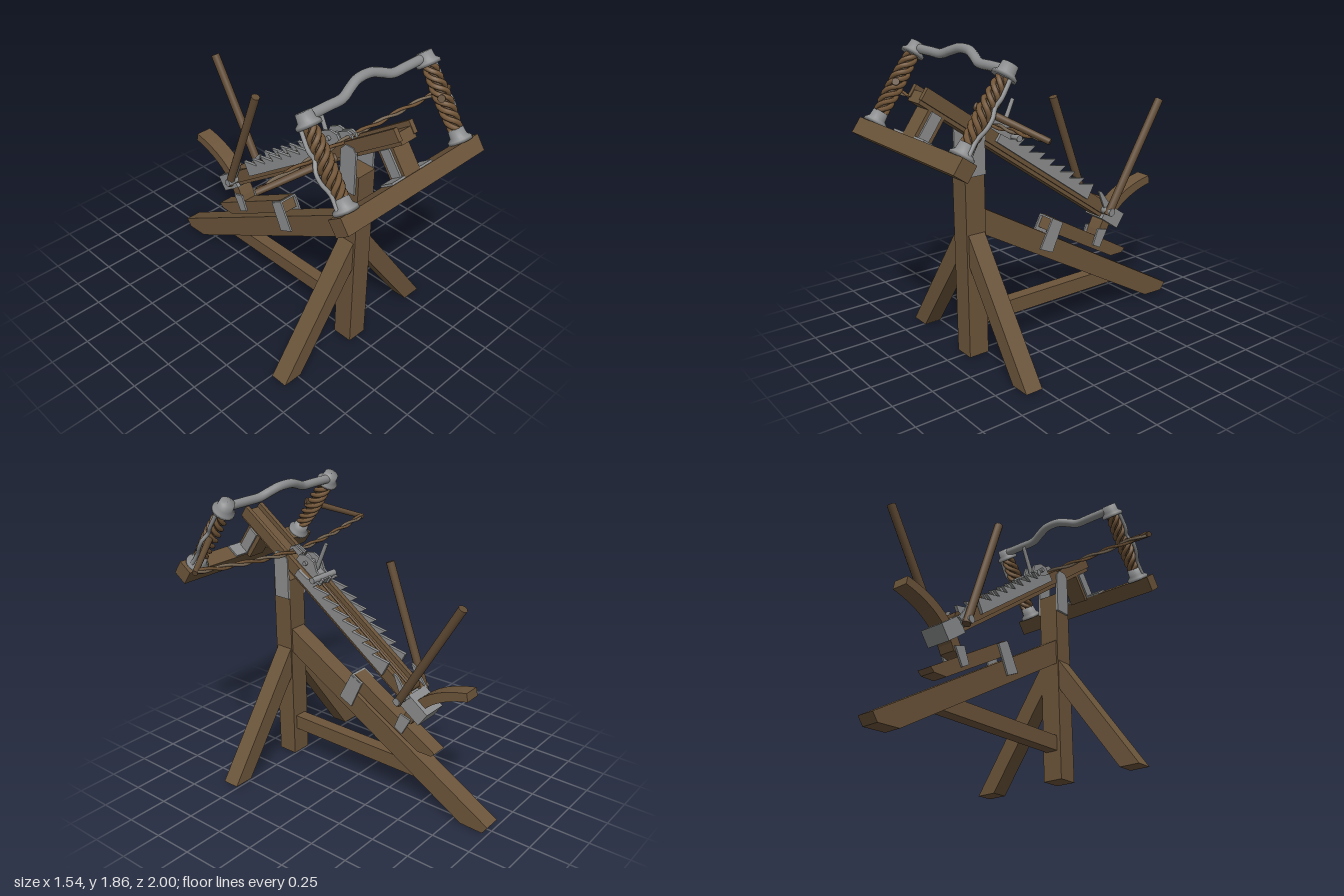
import * as THREE from 'three';

const mat = (name, color) => {
  const m = new THREE.MeshStandardMaterial({ color });
  m.name = name;
  return m;
};

export function createModel() {
  const wood = mat('oak wood', 0x6b543a);
  const dark = mat('handle wood', 0x604a33);
  const rope = mat('rope', 0x735638);
  const cord = mat('bowstring cord', 0x7a6a56);
  const steel = mat('steel', 0x8b8c8d);

  const model = new THREE.Group();
  model.name = 'ballista';
  // Everything carried by the tilted stock lives here: local z runs forward along it, y is its normal
  const stock = new THREE.Group();
  stock.name = 'tiltedStock';
  stock.position.y = 1;
  stock.rotation.x = -0.616;
  model.add(stock);

  const add = (parent, name, geo, material) => {
    const m = new THREE.Mesh(geo, material);
    m.name = name;
    parent.add(m);
    return m;
  };
  const box = (parent, name, material, x0, x1, y0, y1, z0, z1) => {
    const m = add(parent, name, new THREE.BoxGeometry(x1 - x0, y1 - y0, z1 - z0), material);
    m.position.set((x0 + x1) / 2, (y0 + y1) / 2, (z0 + z1) / 2);
    return m;
  };
  const extrude = (shape, depth) =>
    new THREE.ExtrudeGeometry(shape, { depth, bevelEnabled: false, curveSegments: 10 }).translate(0, 0, -depth / 2);
  const poly = pts => new THREE.Shape(pts.map(p => new THREE.Vector2(...p)));
  // Side silhouette given as [z, y] points or a Shape, with its thickness along x
  const slab = (parent, name, material, outline, width, x = 0) => {
    const shape = Array.isArray(outline) ? poly(outline) : outline;
    const m = add(parent, name, extrude(shape, width).rotateY(-Math.PI / 2), material);
    m.position.x = x;
    return m;
  };
  const V = (x, y, z) => new THREE.Vector3(x, y, z);
  const rod = (parent, name, material, a, b, r0, r1 = r0) => {
    const d = b.clone().sub(a);
    const m = add(parent, name, new THREE.CylinderGeometry(r1, r0, d.length(), 12), material);
    m.position.copy(a).addScaledVector(d, 0.5);
    m.quaternion.setFromUnitVectors(V(0, 1, 0), d.normalize());
    return m;
  };
  const tube = (parent, name, material, pts, r, seg = 40, sides = 10) =>
    add(parent, name, new THREE.TubeGeometry(new THREE.CatmullRomCurve3(pts), seg, r, sides), material);

  // ---- Stand ----
  box(model, 'post', wood, -0.066, 0.066, 0.01, 1.25, 0.5, 0.63);
  for (const s of [-1, 1]) {
    const leg = [[0.05, 0.805], [0.61, 0.01], [0.48, 0.01], [0.05, 0.61]].map(([x, y]) => [x * s, y]);
    add(model, 'sideLeg', extrude(poly(leg), 0.11), wood).position.z = 0.562;
    // Rounded iron cheek holding the stock
    slab(model, 'postCheek', steel,
      [[0.5, 1.13], [0.612, 1.13], [0.612, 1.4], [0.59, 1.43], [0.535, 1.43], [0.5, 1.39]], 0.014, s * 0.073);
  }
  slab(model, 'rearBrace', wood,
    [[0.51, 0.925], [-1, 0.055], [-0.965, 0.005], [-0.815, 0.01], [0.51, 0.765]], 0.11);
  slab(model, 'lowerStrut', wood, [[0.51, 0.285], [-0.42, 0.285], [-0.56, 0.19], [0.51, 0.19]], 0.08);

  // ---- Short rear beam, clamps and curved tail ----
  slab(model, 'shortBeam', wood,
    [[-0.01, 0.75], [-0.613, 0.405], [-0.585, 0.38], [-0.49, 0.38], [0.03, 0.672]], 0.1);
  for (const s of [-1, 1]) {
    slab(model, 'beamClamp', steel, [[0.01, 0.745], [-0.072, 0.705], [0.008, 0.53], [0.1, 0.572]], 0.012, s * 0.06);
    slab(model, 'tailClamp', steel, [[-0.365, 0.6], [-0.44, 0.578], [-0.38, 0.468], [-0.325, 0.498]], 0.012, s * 0.058);
  }
  const cap = box(model, 'clampCap', steel, -0.064, 0.064, 0.721, 0.732, -0.077, 0.013);
  cap.rotation.x = -0.5;
  const tail = new THREE.Shape();
  tail.moveTo(-0.36, 0.53);
  tail.quadraticCurveTo(-0.45, 0.81, -0.81, 0.872);
  tail.lineTo(-0.82, 0.82);
  tail.quadraticCurveTo(-0.53, 0.76, -0.44, 0.55);
  slab(model, 'curvedTail', wood, tail, 0.105);

  // ---- Stock ----
  box(stock, 'stockFloor', wood, -0.058, 0.058, -0.042, 0.025, -0.6, 1.07);
  box(stock, 'nosePost', wood, -0.06, 0.06, -0.22, -0.04, 0.885, 1.0);
  box(stock, 'crossbeam', wood, -0.55, 0.55, -0.31, -0.21, 0.908, 1.007);
  box(stock, 'stockEndCap', steel, -0.082, 0.082, -0.05, 0.055, -0.66, -0.5);
  rod(stock, 'drawRope', dark, V(0, 0.035, -0.48), V(0, 0.05, 0.42), 0.008);

  // Saw-toothed ratchet silhouette
  const teeth = [[0.53, 0.005], [0.53, 0.055], [0.45, 0.06]];
  for (let i = 0; i < 8; i++) {
    const tip = 0.36 - i * 0.0925;
    teeth.push([tip, 0.108], [tip + 0.022, 0.055]);
  }
  teeth.pop();
  teeth.push([-0.3, 0.005]);

  for (const s of [-1, 1]) {
    box(stock, 'stockWall', wood, s * 0.06 - 0.014, s * 0.06 + 0.014, -0.02, 0.055, -0.5, 1.075);
    slab(stock, 'ratchetRail', steel, teeth, 0.02, s * 0.084);
    // Angle bracket between nose and crossbeam
    box(stock, 'bracketFoot', steel, s * 0.11 - 0.05, s * 0.11 + 0.05, -0.211, -0.198, 0.912, 1.0);
    box(stock, 'bracketSide', steel, s * 0.066 - 0.006, s * 0.066 + 0.006, -0.21, -0.04, 0.912, 0.98);

    // Torsion spring: washers, twisted skein and guard rod
    const washer = [[0, 0], [0.07, 0], [0.07, 0.018], [0.05, 0.035], [0.045, 0.08], [0, 0.08]]
      .map(p => new THREE.Vector2(...p));
    for (const [name, y] of [['lowerWasher', -0.212], ['upperWasher', 0.245]])
      add(stock, name, new THREE.LatheGeometry(washer, 24), steel).position.set(s * 0.46, y, 0.953);
    rod(stock, 'skeinCore', dark, V(s * 0.46, -0.15, 0.953), V(s * 0.46, 0.25, 0.953), 0.026);
    for (let k = 0; k < 4; k++) {
      const pts = [];
      for (let i = 0; i <= 30; i++) {
        const u = i / 30, a = s * u * 13 + k * Math.PI / 2;
        const r = 0.03 + 0.01 * Math.sin(u * Math.PI);
        pts.push(V(s * 0.46 + r * Math.cos(a), -0.15 + 0.4 * u, 0.953 + r * Math.sin(a)));
      }
      tube(stock, 'skeinStrand', rope, pts, 0.015, 70, 6);
    }
    tube(stock, 'guardRod', steel, [V(s * 0.515, 0.255, 0.95), V(s * 0.52, 0.14, 0.945), V(s * 0.508, 0.09, 0.945),
      V(s * 0.532, 0.03, 0.945), V(s * 0.528, -0.03, 0.945), V(s * 0.506, -0.1, 0.95), V(s * 0.51, -0.2, 0.95)], 0.012);

    // Throwing arm
    rod(stock, 'bowArm', dark, V(s * 0.41, 0.056, 0.99), V(s * 0.76, 0.055, 0.738), 0.022, 0.017);
  }

  // Arched bar joining the upper washers
  tube(stock, 'archedBar', steel, [[-0.46, 0.294], [-0.3, 0.294], [-0.19, 0.296], [-0.12, 0.325], [-0.05, 0.35], [0.05, 0.35],
    [0.12, 0.325], [0.19, 0.296], [0.3, 0.294], [0.46, 0.294]].map(([x, y]) => V(x, y, 0.946)), 0.028, 80, 14);

  // Two-strand twisted bowstring
  for (let k = 0; k < 2; k++) {
    const pts = [];
    for (let i = 0; i <= 80; i++) {
      const x = -0.75 + 1.5 * i / 80, a = i * 0.42 + k * Math.PI;
      const z = 0.657 + 0.087 * Math.pow(Math.abs(x) / 0.75, 1.5);
      pts.push(V(x, 0.06 + 0.009 * Math.cos(a), z + 0.009 * Math.sin(a)));
    }
    tube(stock, 'bowstring', k ? cord : rope, pts, 0.01, 160, 6);
  }

  // ---- Trigger ----
  for (const s of [-1, 1]) {
    slab(stock, 'triggerCheek', steel,
      [[0.6, 0.055], [0.6, 0.1], [0.56, 0.135], [0.49, 0.145], [0.44, 0.11], [0.37, 0.1], [0.37, 0.055]], 0.015, s * 0.035);
    slab(stock, 'triggerClaw', steel,
      [[0.6, 0.07], [0.6, 0.11], [0.67, 0.1], [0.69, 0.075], [0.685, 0.045], [0.67, 0.075]], 0.014, s * 0.016);
  }
  box(stock, 'triggerBlock', steel, -0.03, 0.03, 0.05, 0.1, 0.38, 0.59);
  rod(stock, 'triggerLever', steel, V(0, 0.1, 0.47), V(0, 0.28, 0.505), 0.014, 0.012);
  rod(stock, 'triggerPin', steel, V(-0.105, 0.09, 0.405), V(0.105, 0.09, 0.405), 0.02);
  rod(stock, 'triggerAxle', steel, V(-0.06, 0.095, 0.53), V(0.06, 0.095, 0.53), 0.014);

  // ---- Winch ----
  rod(model, 'winchAxle', steel, V(-0.15, 0.727, -0.4), V(0.155, 0.727, -0.4), 0.024);
  rod(model, 'winchDrum', dark, V(-0.045, 0.775, -0.4), V(0.045, 0.775, -0.4), 0.03);
  for (const s of [-1, 1])
    slab(model, 'winchEar', steel, [[-0.36, 0.86], [-0.335, 0.87], [-0.4, 0.71], [-0.45, 0.74]], 0.014, s * 0.09);
  rod(model, 'leftHandle', dark, V(0.127, 0.705, -0.388), V(0.127, 1.4, -0.805), 0.027);
  rod(model, 'rightHandle', dark, V(-0.121, 0.7, -0.415), V(-0.121, 1.46, -0.14), 0.026);

  return model;
}
